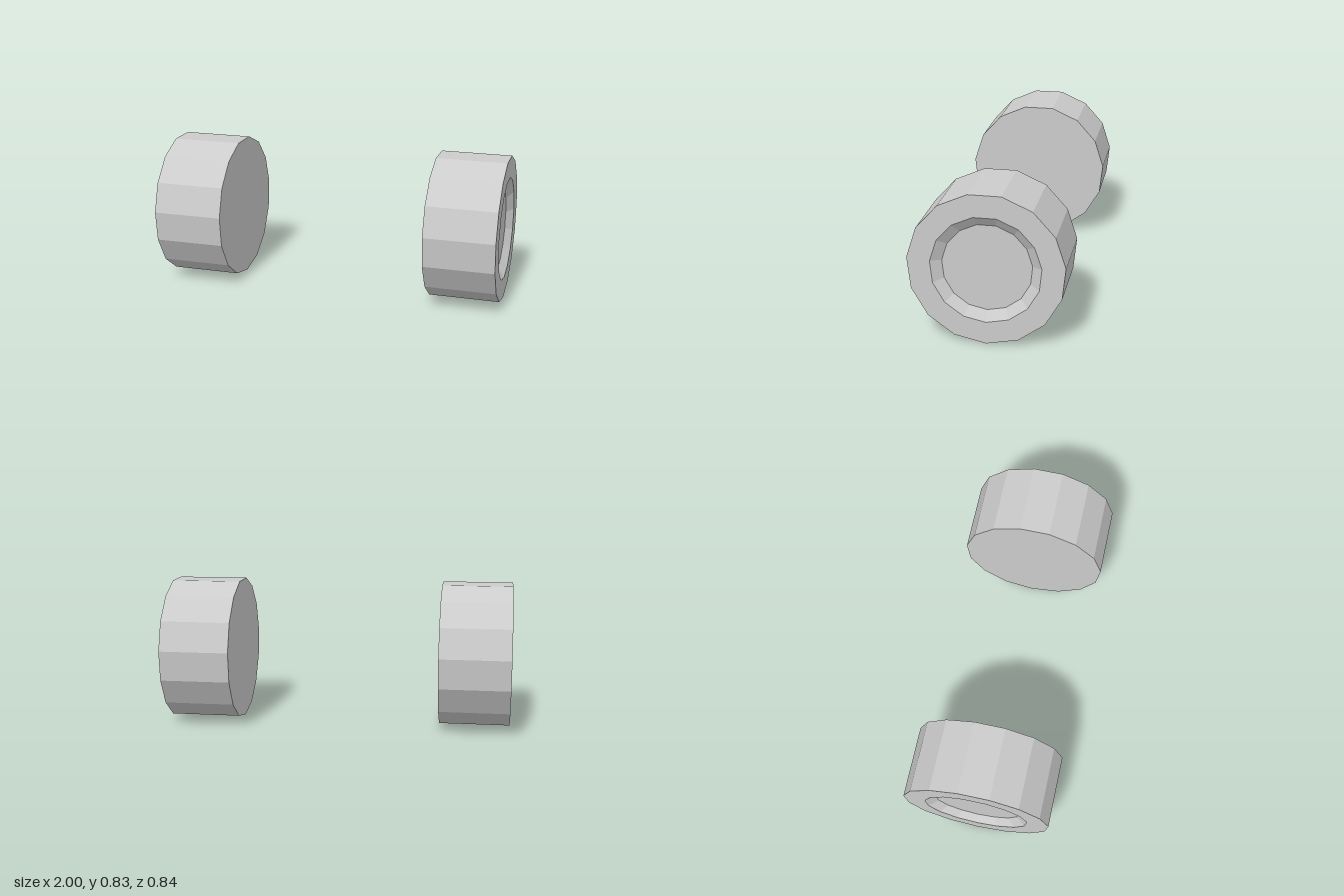
import * as THREE from 'three';

const RADIUS = 0.42;
const SIDES = 15;
const INNER_X = 0.595;
const OUTER_X = 1;
const HUB_X = 0.96;

// Wheel on the +x side: flat inner face, dished outer face, one corner pointing down
function wheelGeometry() {
  const profile = [
    [0, INNER_X],
    [RADIUS, INNER_X],
    [RADIUS, OUTER_X],
    [0.296, OUTER_X], // rim edge
    [0.241, HUB_X], // sloped recess
    [0, HUB_X],
  ].map(([r, x]) => new THREE.Vector2(r, x));
  return new THREE.LatheGeometry(profile, SIDES, Math.PI / 2)
    .rotateZ(-Math.PI / 2)
    .translate(0, RADIUS, 0);
}

export function createModel() {
  const group = new THREE.Group();
  group.name = 'wheelPair';
  const material = new THREE.MeshStandardMaterial({ color: 0xcccccc, flatShading: true });
  const geometry = wheelGeometry();

  // Half a turn about y puts the second wheel opposite, recess outward
  for (const [name, turn] of [['leftWheel', 0], ['rightWheel', Math.PI]]) {
    const wheel = new THREE.Mesh(geometry, material);
    wheel.name = name;
    wheel.rotation.y = turn;
    group.add(wheel);
  }
  return group;
}
